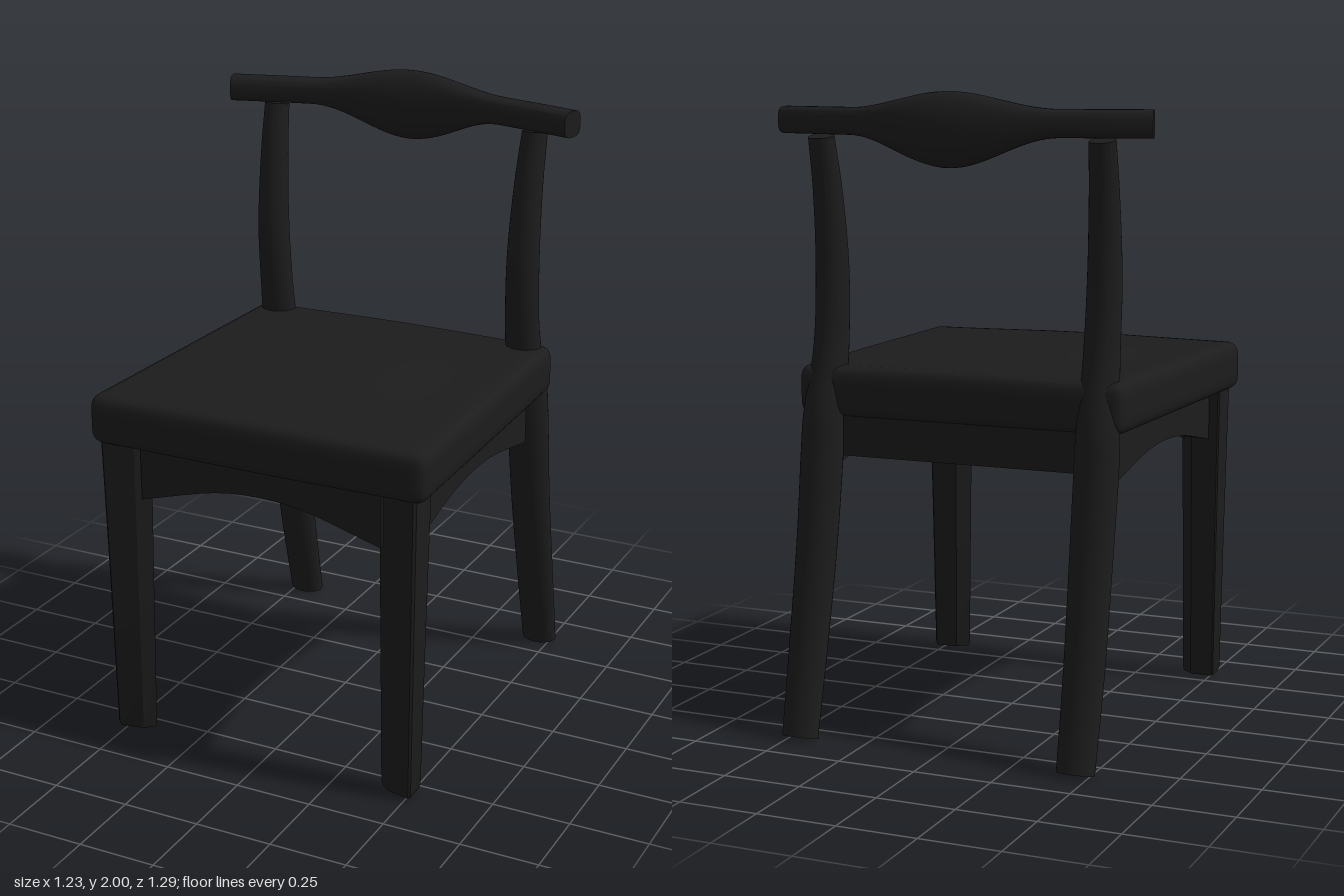
import * as THREE from 'three';
import { mergeVertices, toCreasedNormals } from 'three/addons/utils/BufferGeometryUtils.js';

// Skin a list of equal-length rings and cap both ends
function loft(rings, crease) {
  const n = rings[0].length, pos = [], idx = [];
  rings.forEach(r => r.forEach(p => pos.push(p.x, p.y, p.z)));
  for (let i = 0; i < rings.length - 1; i++) {
    for (let j = 0; j < n; j++) {
      const a = i * n + j, b = i * n + (j + 1) % n;
      idx.push(a, a + n, b, b, a + n, b + n);
    }
  }
  [rings[0], rings[rings.length - 1]].forEach((ring, end) => {
    const c = ring.reduce((s, p) => s.add(p), new THREE.Vector3()).divideScalar(n);
    const k = pos.length / 3, base = end ? (rings.length - 1) * n : 0;
    pos.push(c.x, c.y, c.z);
    for (let j = 0; j < n; j++) {
      const a = base + j, b = base + (j + 1) % n;
      if (end) idx.push(k, b, a); else idx.push(k, a, b);
    }
  });
  const g = new THREE.BufferGeometry();
  g.setAttribute('position', new THREE.Float32BufferAttribute(pos, 3));
  g.setIndex(idx);
  return toCreasedNormals(g, crease);
}

// Rounded section around c, spanned by two axes; power 2 is an ellipse, higher is squarer
function section(c, e1, e2, r1, r2, power = 2) {
  const bend = v => Math.sign(v) * Math.abs(v) ** (2 / power);
  return Array.from({ length: 32 }, (_, j) => {
    const a = j / 32 * Math.PI * 2;
    return c.clone().addScaledVector(e1, bend(Math.cos(a)) * r1)
      .addScaledVector(e2, bend(Math.sin(a)) * r2);
  });
}

// Cushion: rounded box, tapered to the back, top and front gently bulging
function seatGeometry() {
  const half = new THREE.Vector3(0.57, 0.081, 0.543), r = 0.042;
  const g0 = new THREE.BoxGeometry(2, 2, 2, 28, 10, 28);
  g0.deleteAttribute('uv');
  g0.deleteAttribute('normal');
  const g = mergeVertices(g0), p = g.attributes.position;
  const lim = half.clone().subScalar(r), low = lim.clone().negate();
  const v = new THREE.Vector3(), hump = t => 0.5 + 0.5 * Math.cos(Math.PI * t);
  for (let i = 0; i < p.count; i++) {
    v.fromBufferAttribute(p, i);
    ['x', 'y', 'z'].forEach(k => { v[k] = Math.sin(v[k] * Math.PI / 2) * half[k]; });
    const inner = v.clone().clamp(low, lim);
    v.sub(inner).setLength(r).add(inner);
    const u = v.x / half.x, w = v.z / half.z;
    if (v.y > 0) v.y += 0.014 * hump(u) * (0.4 + 0.6 * hump(w)) * v.y / half.y;
    if (w > 0) v.z += 0.006 * hump(u) * w;
    v.x *= 0.973 + 0.027 * w;
    p.setXYZ(i, v.x, v.y + 1.074, v.z + 0.096);
  }
  g.computeVertexNormals();
  return g;
}

// Apron board from u0 to u1 with a bell-shaped lower edge
function apronGeometry(u0, u1, yEnd, yMid, depth) {
  const s = new THREE.Shape(), m = (u0 + u1) / 2, k = (u1 - u0) / 5, y1 = yEnd + (yMid - yEnd) * 0.5;
  s.moveTo(u0, yEnd);
  s.bezierCurveTo(u0 + k, y1, m - k, yMid, m, yMid);
  s.bezierCurveTo(m + k, yMid, u1 - k, y1, u1, yEnd);
  s.lineTo(u1, 1.0);
  s.lineTo(u0, 1.0);
  const g = new THREE.ExtrudeGeometry(s, { depth, bevelEnabled: false, curveSegments: 14 });
  return g.translate(0, 0, -depth / 2);
}

// Straight tapered leg, square outside and faceted to an edge on the inside
function frontLegGeometry(side) {
  const outline = [[0.074, -0.052], [0.074, 0.047], [0.066, 0.055], [-0.03, 0.031],
    [-0.07, -0.008], [-0.024, -0.05], [0.069, -0.056]];
  const levels = [[0.01, 0.76, 0.67], [0.024, 0.82, 0.74], [0.55, 0.92, 0.87], [1.0, 1.02, 1.02]];
  return loft(levels.map(([y, sx, sz]) => {
    const ring = outline.map(([x, z]) =>
      new THREE.Vector3(side * (0.46 + x * sx), y, 0.566 + z * sz));
    return side > 0 ? ring : ring.reverse();
  }), 0.4);
}

// Bowed rear leg that carries on up as the back post: y, x, z, half width, half depth
function backLegGeometry(side) {
  const data = [
    [0.008, 0.46, -0.606, 0.06, 0.039], [0.3, 0.46, -0.54, 0.064, 0.046],
    [0.6, 0.457, -0.483, 0.067, 0.052], [0.9, 0.457, -0.438, 0.069, 0.058],
    [1.0, 0.456, -0.425, 0.067, 0.06], [1.2, 0.45, -0.384, 0.057, 0.051],
    [1.45, 0.452, -0.365, 0.053, 0.05], [1.7, 0.456, -0.384, 0.046, 0.044],
    [1.86, 0.46, -0.413, 0.041, 0.039]];
  const path = new THREE.CatmullRomCurve3(data.map(d => new THREE.Vector3(side * d[1], d[0], d[2])));
  const size = new THREE.CatmullRomCurve3(data.map(d => new THREE.Vector3(d[3], d[0], d[4])));
  const X = new THREE.Vector3(1, 0, 0), rings = [];
  for (let i = 0; i <= 40; i++) {
    const s = size.getPoint(i / 40), across = X.clone().cross(path.getTangent(i / 40)).normalize();
    rings.push(section(path.getPoint(i / 40), X, across, s.x, s.z));
  }
  return loft(rings, 0.8);
}

// Curved top rail, squarish at the ends, swelling into a paddle in the middle
function railGeometry() {
  const half = [[0.15, -0.47], [0.3, -0.446], [0.45, -0.41], [0.602, -0.368]];
  const pts = [...half.map(([x, z]) => [-x, z]).reverse(), [0, -0.478], ...half];
  const path = new THREE.CatmullRomCurve3(pts.map(([x, z]) => new THREE.Vector3(x, 1.908, z)));
  const up = new THREE.Vector3(0, 1, 0), rings = [];
  for (let i = 0; i <= 64; i++) {
    const c = path.getPoint(i / 64), t = path.getTangent(i / 64);
    const k = Math.min(1, Math.abs(c.x) / 0.34);
    const swell = 0.5 + 0.5 * Math.cos(Math.PI * k);
    c.y -= 0.021 * swell;
    rings.push(section(c, t.clone().cross(up), up,
      0.041 + 0.018 * swell, 0.042 + 0.071 * swell, 3.2 - 1.2 * swell));
  }
  return loft(rings, 0.8);
}

export function createModel() {
  const model = new THREE.Group();
  model.name = 'chair';
  const black = new THREE.MeshStandardMaterial({ color: 0x1c1c1c });
  black.name = 'black';
  const add = (name, geometry) => {
    const m = new THREE.Mesh(geometry, black);
    m.name = name;
    model.add(m);
    return m;
  };

  add('seat', seatGeometry());
  add('backRail', railGeometry());
  for (const [side, label] of [[1, 'left'], [-1, 'right']]) {
    add(label + 'FrontLeg', frontLegGeometry(side));
    add(label + 'BackLeg', backLegGeometry(side));
    // Side apron runs front to back, slightly converging at the rear
    const apron = add(label + 'Apron', apronGeometry(-0.53, 0.36, 0.831, 0.898, 0.04));
    apron.rotation.y = Math.PI / 2 + side * 0.02;
    apron.position.x = side * 0.468;
  }
  add('frontApron', apronGeometry(-0.41, 0.41, 0.821, 0.904, 0.04)).position.z = 0.57;
  add('rearApron', apronGeometry(-0.44, 0.44, 0.873, 0.873, 0.04)).position.z = -0.405;
  return model;
}
